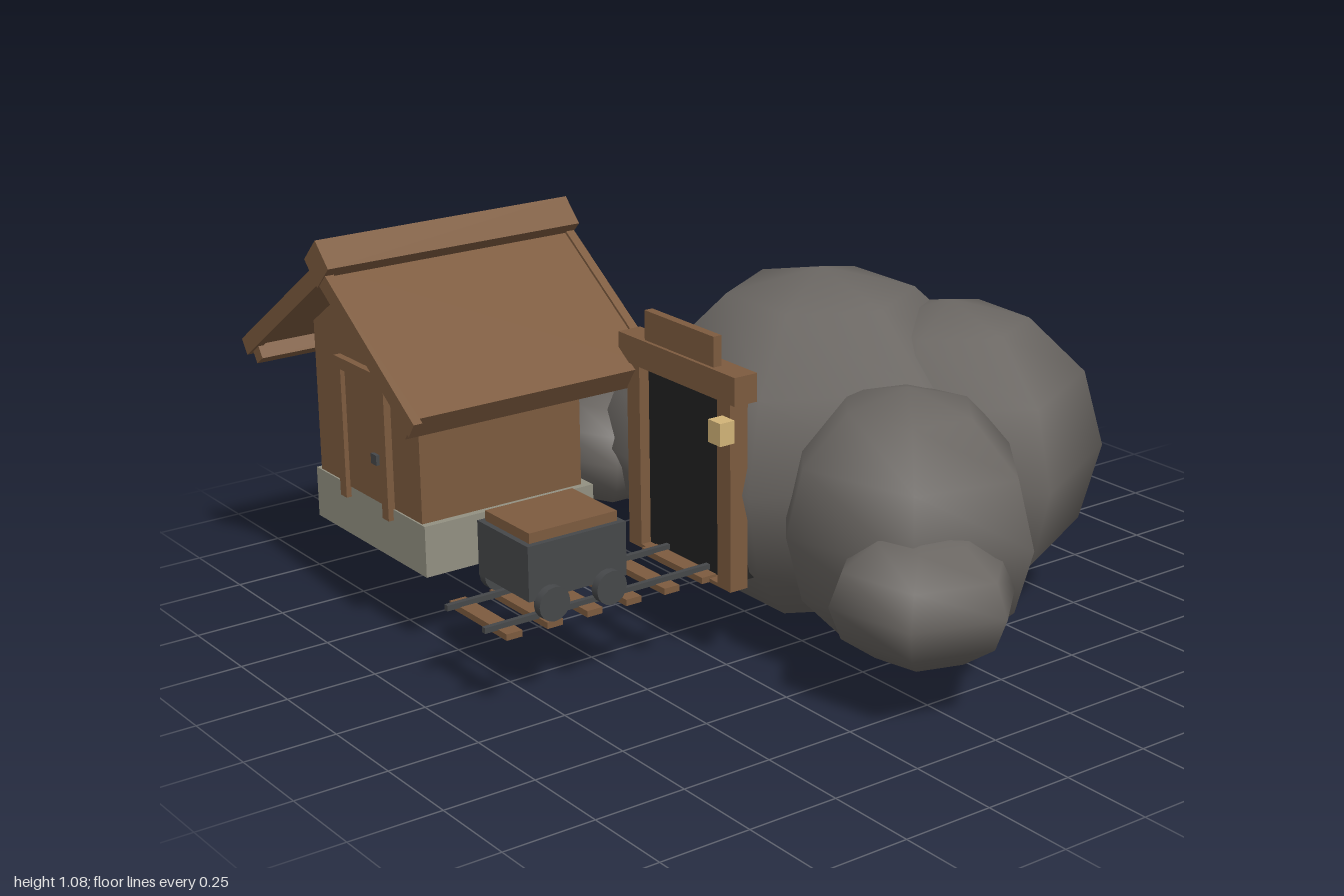
import * as THREE from 'three';

const paint = (name, color) => {
  const m = new THREE.MeshStandardMaterial({ color });
  m.name = name;
  return m;
};

export function createModel() {
  const model = new THREE.Group();
  model.name = 'mineEntrance';
  const rockGrey = paint('rockGrey', 0x6b6763);
  const wood = paint('wood', 0x7d5b3f);
  const stone = paint('stone', 0x939182);
  const iron = paint('iron', 0x46484a);
  const black = paint('tunnelBlack', 0x222222);
  const lampYellow = paint('lampYellow', 0xd2b478);

  const group = (name) => {
    const g = new THREE.Group();
    g.name = name;
    model.add(g);
    return g;
  };
  const add = (parent, name, geometry, material) => {
    const mesh = new THREE.Mesh(geometry, material);
    mesh.name = name;
    parent.add(mesh);
    return mesh;
  };
  // Box given by its limits on each axis
  const box = (parent, name, material, x0, x1, y0, y1, z0, z1) => {
    const mesh = add(parent, name, new THREE.BoxGeometry(x1 - x0, y1 - y0, z1 - z0), material);
    mesh.position.set((x0 + x1) / 2, (y0 + y1) / 2, (z0 + z1) / 2);
    return mesh;
  };

  // Six-sided boulders: centre, radii, heading of one corner in degrees
  const rocks = group('rocks');
  const rock = (name, x, y, z, rx, ry, rz, corner) => {
    const g = new THREE.SphereGeometry(1, 6, 6);
    g.rotateY(Math.PI - THREE.MathUtils.degToRad(corner));
    g.scale(rx, ry, rz);
    add(rocks, name, g, rockGrey).position.set(x, y, z);
  };
  rock('mainRock', 0.07, 0.475, -0.2, 0.5, 0.475, 0.5, 60);
  rock('backLeftRock', 0.3, 0.455, -0.45, 0.42, 0.415, 0.42, -57);
  rock('backRightRock', -0.18, 0.42, -0.55, 0.35, 0.36, 0.35, 217);
  rock('rearRock', 0.06, 0.35, -0.7, 0.25, 0.25, 0.25, -90);
  rock('rightRock', -0.31, 0.36, -0.23, 0.41, 0.29, 0.41, 187);
  rock('smallRightRock', -0.62, 0.31, 0.02, 0.215, 0.16, 0.18, 150);
  rock('leftRock', 0.54, 0.41, -0.1, 0.38, 0.35, 0.33, -18);
  rock('smallLeftRock', 0.76, 0.31, 0.03, 0.25, 0.175, 0.25, 48);

  // Tunnel portal
  const portal = group('portal');
  box(portal, 'tunnel', black, -0.1, 0.25, 0.22, 0.72, -0.05, 0.24);
  box(portal, 'rightPost', wood, -0.15, -0.095, 0.22, 0.73, 0.215, 0.27);
  box(portal, 'leftPost', wood, 0.24, 0.295, 0.22, 0.73, 0.215, 0.27);
  box(portal, 'lintel', wood, -0.18, 0.32, 0.725, 0.8, 0.205, 0.275);
  box(portal, 'signBoard', wood, -0.075, 0.22, 0.8, 0.88, 0.24, 0.265);
  box(portal, 'threshold', wood, -0.1, 0.25, 0.22, 0.23, 0.235, 0.27);
  box(portal, 'lantern', lampYellow, 0.27, 0.32, 0.63, 0.69, 0.275, 0.32);

  // Shed with a gabled wall outline
  const shed = group('shed');
  const cx = -0.545;
  box(shed, 'foundation', stone, -0.83, -0.26, 0.22, 0.36, 0.31, 0.83);
  const outline = new THREE.Shape([[-0.265, 0.36], [0.265, 0.36], [0.265, 0.78], [0, 0.96], [-0.265, 0.78]]
    .map(([x, y]) => new THREE.Vector2(x, y)));
  add(shed, 'walls', new THREE.ExtrudeGeometry(outline, { depth: 0.49, bevelEnabled: false }), wood)
    .position.set(cx, 0, 0.335);
  box(shed, 'door', wood, -0.64, -0.45, 0.36, 0.69, 0.82, 0.832);
  box(shed, 'doorPostRight', wood, -0.672, -0.64, 0.33, 0.69, 0.82, 0.845);
  box(shed, 'doorPostLeft', wood, -0.45, -0.418, 0.33, 0.69, 0.82, 0.845);
  box(shed, 'doorLintel', wood, -0.672, -0.418, 0.69, 0.722, 0.82, 0.845);
  box(shed, 'doorLatch', iron, -0.503, -0.475, 0.467, 0.495, 0.83, 0.842);

  // Roof slopes, each in a group tilted at the ridge
  for (const side of [-1, 1]) {
    const slope = new THREE.Group();
    slope.name = side < 0 ? 'rightRoofSlope' : 'leftRoofSlope';
    slope.position.set(cx, 0.99, 0);
    slope.rotation.z = -side * THREE.MathUtils.degToRad(34.5);
    shed.add(slope);
    const span = (name, a, b, y0, y1, z0, z1) =>
      box(slope, name, wood, Math.min(side * a, side * b), Math.max(side * a, side * b), y0, y1, z0, z1);
    span('roofPanel', 0, 0.515, -0.02, 0.015, 0.21, 0.925);
    span('frontBargeBoard', 0, 0.535, -0.025, 0.022, 0.92, 0.945);
    span('backBargeBoard', 0, 0.535, -0.025, 0.022, 0.19, 0.215);
    span('eaveBoard', 0.475, 0.515, -0.06, -0.02, 0.2, 0.935);
  }
  const ridge = add(shed, 'ridgeBeam', new THREE.BoxGeometry(0.088, 0.088, 0.76), wood);
  ridge.position.set(cx, 1.013, 0.568);
  ridge.rotation.z = Math.PI / 4;

  // Track
  const track = group('track');
  for (let i = 0; i < 6; i++) {
    const z = 0.86 - i * 0.118;
    box(track, 'sleeper', wood, -0.06, 0.205, 0.22, 0.237, z - 0.023, z + 0.023);
  }
  for (const x of [-0.015, 0.16]) box(track, 'rail', iron, x - 0.007, x + 0.007, 0.235, 0.25, 0.22, 0.92);

  // Cart
  const cart = group('cart');
  box(cart, 'cartBody', iron, -0.042, 0.188, 0.295, 0.44, 0.515, 0.805);
  box(cart, 'cartLoad', wood, -0.028, 0.172, 0.44, 0.467, 0.53, 0.79);
  for (const z of [0.575, 0.745]) {
    const axle = add(cart, 'axle', new THREE.CylinderGeometry(0.012, 0.012, 0.25, 10), iron);
    axle.rotation.z = Math.PI / 2;
    axle.position.set(0.073, 0.283, z);
    for (const x of [-0.052, 0.198]) {
      const wheel = add(cart, 'wheel', new THREE.CylinderGeometry(0.045, 0.045, 0.026, 16), iron);
      wheel.rotation.z = Math.PI / 2;
      wheel.position.set(x, 0.283, z);
    }
  }
  return model;
}
